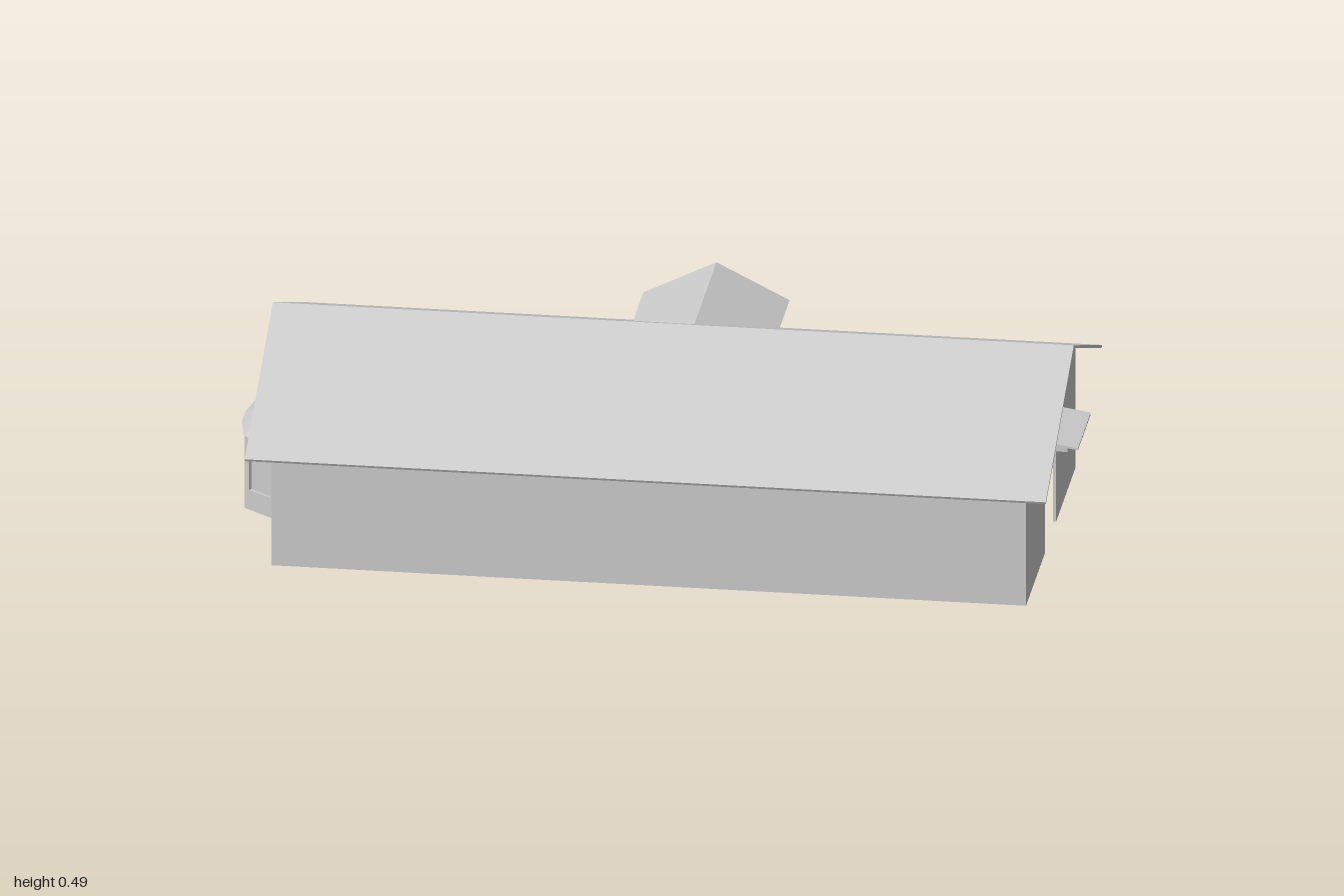
import * as THREE from 'three';

const solid = new THREE.MeshStandardMaterial({ color: 0xcccccc, flatShading: true });
const thin = new THREE.MeshStandardMaterial({ color: 0xcccccc, flatShading: true, side: THREE.DoubleSide });

const RIDGE_Z = 0.005, WALL_T = 0.008;
const WALL = { x0: -0.875, x1: 0.92, z0: -0.42, z1: 0.427, h: 0.31 };

const outline = (pts) => new THREE.Shape(pts.map(([u, v]) => new THREE.Vector2(u, v)));
const rect = (u0, v0, u1, v1) => [[u0, v0], [u1, v0], [u1, v1], [u0, v1]];

function add(parent, name, geometry, material = solid) {
  const mesh = new THREE.Mesh(geometry, material);
  mesh.name = name;
  parent.add(mesh);
  return mesh;
}

function extrude(pts, depth, hole) {
  const shape = outline(pts);
  if (hole) shape.holes.push(outline(hole));
  return new THREE.ExtrudeGeometry(shape, { depth, bevelEnabled: false });
}

// Profile drawn in (z, y), extruded along x from x0 to x1
function alongX(pts, x0, x1) {
  return extrude(pts, x1 - x0).rotateY(-Math.PI / 2).translate(x1, 0, 0);
}

function box(parent, name, x0, x1, y0, y1, z0, z1) {
  const mesh = add(parent, name, new THREE.BoxGeometry(x1 - x0, y1 - y0, z1 - z0));
  mesh.position.set((x0 + x1) / 2, (y0 + y1) / 2, (z0 + z1) / 2);
  return mesh;
}

// Thin surface from flat polygons, each split as a fan
function sheet(polygons) {
  const out = [];
  for (const p of polygons) {
    for (let i = 1; i < p.length - 1; i++) out.push(...p[0], ...p[i], ...p[i + 1]);
  }
  const g = new THREE.BufferGeometry();
  g.setAttribute('position', new THREE.Float32BufferAttribute(out, 3));
  g.computeVertexNormals();
  return g;
}

// Gable end whose opening is cut up from the ground
function gable(opening) {
  return [[WALL.z0, 0], ...opening, [WALL.z1, 0], [WALL.z1, WALL.h], [RIDGE_Z, 0.486], [WALL.z0, WALL.h]];
}

function makeWalls() {
  const g = new THREE.Group();
  g.name = 'walls';
  const { x0, x1, z0, z1, h } = WALL;
  add(g, 'doorwayGable', alongX(gable([[-0.09, 0], [-0.09, 0.27], [0.1, 0.27], [0.1, 0]]), x1 - WALL_T, x1));
  add(g, 'bayGable', alongX(gable([
    [-0.145, 0], [-0.145, 0.195], [-0.03, 0.252], [0.03, 0.252], [0.145, 0.195], [0.145, 0],
  ]), x0, x0 + WALL_T));
  box(g, 'frontWall', x0, x1, 0, h, z1 - WALL_T, z1);
  add(g, 'backWall', extrude(rect(x0, 0, x1, h), WALL_T, rect(-0.71, 0.03, -0.505, 0.245))).position.z = z0;
  return g;
}

// Half-octagon bay with a framed window on three sides
function makeBay() {
  const g = new THREE.Group();
  g.name = 'bayWindow';
  const plan = [[-0.87, 0.155], [-0.9, 0.155], [-0.985, 0.09], [-0.985, -0.09], [-0.9, -0.155], [-0.87, -0.155]];
  for (let i = 0; i < plan.length - 1; i++) {
    const [ax, az] = plan[i], [bx, bz] = plan[i + 1];
    const len = Math.hypot(bx - ax, bz - az);
    const side = new THREE.Group();
    side.name = 'baySide';
    side.position.set(ax, 0, az);
    side.rotation.y = Math.atan2(az - bz, bx - ax);
    const glazed = i > 0 && i < 4;
    const m = i === 2 ? 0.03 : 0.018;
    const hole = glazed && rect(m, 0.052, len - m, 0.172);
    add(side, 'bayWall', extrude(rect(0, 0, len, 0.195), WALL_T, hole));
    if (glazed) {
      box(side, 'windowPane', m, len - m, 0.052, 0.172, 0.005, 0.007);
      const trim = rect(m - 0.006, 0.046, len - m + 0.006, 0.178);
      add(side, 'windowFrame', extrude(trim, 0.004, hole)).position.z = -0.003;
    }
    g.add(side);
  }
  // Faceted hipped roof
  const half = [[-0.87, 0.195, 0.17], [-0.93, 0.195, 0.165], [-0.985, 0.195, 0.112], [-1, 0.195, 0.03]];
  const faces = [];
  for (const s of [1, -1]) {
    const e = half.map(([x, y, z]) => [x, y, z * s]);
    const top = [-0.87, 0.258, 0.03 * s];
    for (let i = 0; i < 3; i++) faces.push([e[i], e[i + 1], top]);
  }
  faces.push([half[3], [-1, 0.195, -0.03], [-0.87, 0.258, -0.03], [-0.87, 0.258, 0.03]]);
  add(g, 'bayRoof', sheet(faces), thin);
  return g;
}

function makeDormer() {
  const g = new THREE.Group();
  g.name = 'dormer';
  const cx = 0.067, w = 0.137;
  const roof = [], cheeks = [];
  for (const s of [-1, 1]) {
    const e = cx + s * 0.174, c = cx + s * w;
    roof.push([[cx, 0.478, -0.415], [cx, 0.478, -0.035], [e, 0.391, -0.24], [e, 0.391, -0.415]]);
    cheeks.push([[c, 0.325, -0.395], [c, 0.409, -0.395], [c, 0.409, -0.195]]);
  }
  add(g, 'dormerRoof', sheet(roof), thin);
  add(g, 'dormerCheeks', sheet(cheeks), thin);
  add(g, 'dormerFront', sheet([[
    [cx - w, 0.325, -0.395], [cx - w, 0.409, -0.395], [cx, 0.477, -0.395],
    [cx + w, 0.409, -0.395], [cx + w, 0.325, -0.395],
  ]]), thin);
  return g;
}

// Awning and brackets over the open end doorway
function makeEndPorch() {
  const g = new THREE.Group();
  g.name = 'doorwayAwning';
  const slab = extrude([[0.915, 0.284], [1, 0.272], [1, 0.277], [0.915, 0.29]], 0.22);
  add(g, 'awning', slab).position.z = -0.105;
  for (const z of [-0.1, 0.1]) box(g, 'awningBracket', 0.915, 0.975, 0.264, 0.278, z, z + 0.01);
  return g;
}

// Recessed door, wedge awning and two steps at the back
function makeBackEntry() {
  const g = new THREE.Group();
  g.name = 'backEntry';
  box(g, 'backDoor', -0.712, -0.503, 0.028, 0.247, -0.415, -0.411);
  add(g, 'backAwning', alongX([[-0.418, 0.24], [-0.418, 0.265], [-0.488, 0.25], [-0.488, 0.247]], -0.73, -0.485));
  add(g, 'backSteps', alongX([
    [-0.418, 0], [-0.465, 0], [-0.465, 0.014], [-0.438, 0.014], [-0.438, 0.03], [-0.418, 0.03],
  ], -0.725, -0.49));
  return g;
}

export function createModel() {
  const model = new THREE.Group();
  model.name = 'house';
  model.add(makeWalls(), makeBay(), makeDormer(), makeEndPorch(), makeBackEntry());
  // Main gabled roof slab
  add(model, 'mainRoof', alongX([
    [-0.48, 0.292], [RIDGE_Z, 0.493], [0.488, 0.293], [0.485, 0.287], [RIDGE_Z, 0.486], [-0.477, 0.286],
  ], -0.93, 0.975));
  return model;
}
